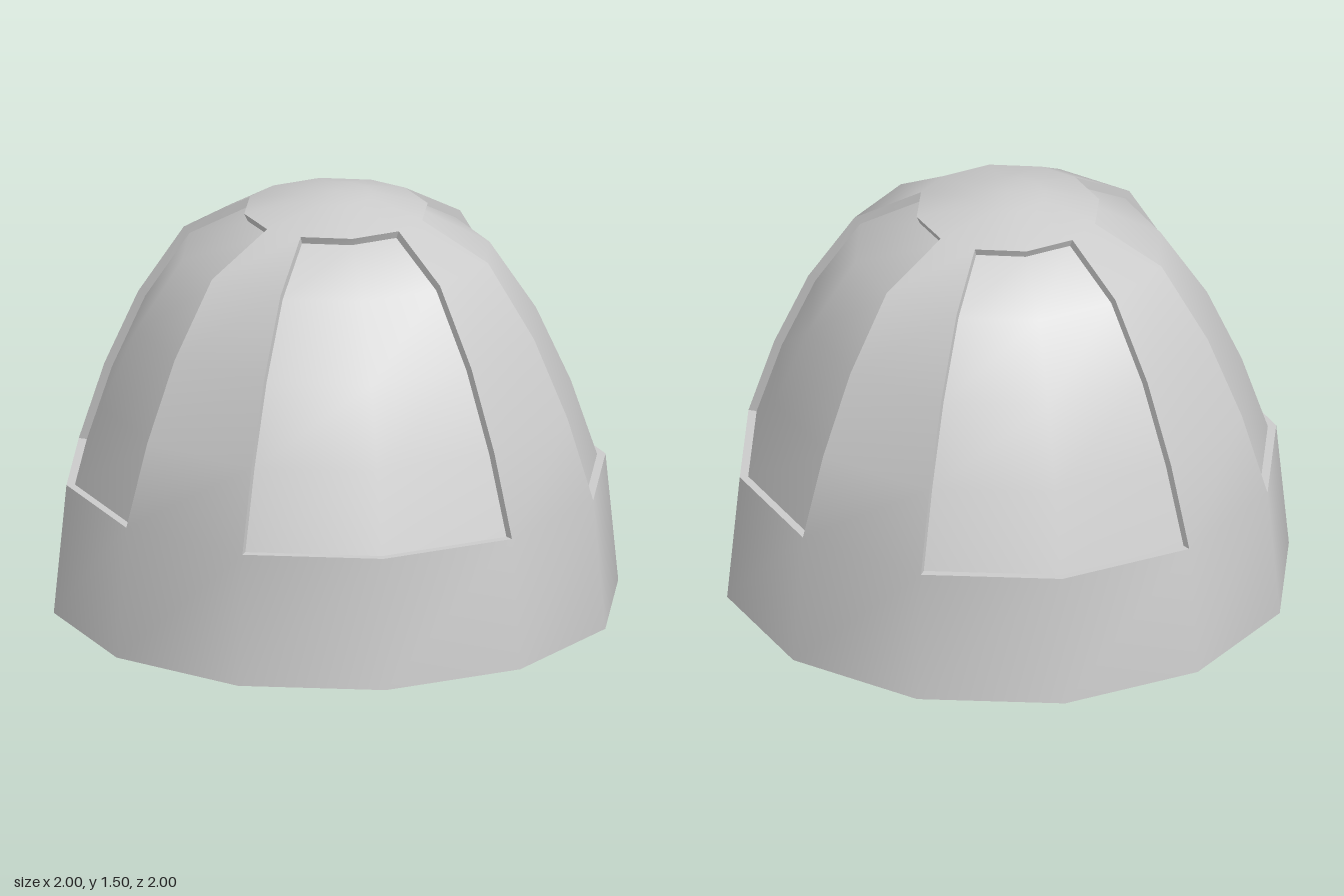
import * as THREE from 'three';
import { toCreasedNormals } from 'three/addons/utils/BufferGeometryUtils.js';

const SIDES = 12, THICK = 0.12, RECESS = 0.03;
// dome profile [radius, height] from the base to the apex
const PROFILE = [[1, 0], [0.955, 0.47], [0.86, 0.76], [0.735, 1.04], [0.565, 1.3], [0.325, 1.435], [0.13, 1.49], [0, 1.5]];
const TOP = PROFILE.length - 1;

// two of every three columns carry a recessed panel, between rings 1 and 5
const isPanel = (k, j) => k >= 1 && k < 5 && ((j % 3) + 3) % 3 !== 0;

// profile normal of a ring; flat at the base and the panel sill, upright at the apex
function ringNormal(k) {
  if (k <= 1) return [1, 0];
  if (k === TOP) return [0, 1];
  const [r0, y0] = PROFILE[k - 1], [r1, y1] = PROFILE[k + 1];
  const len = Math.hypot(r1 - r0, y1 - y0);
  return [(y1 - y0) / len, (r0 - r1) / len];
}

// point on ring k, column j, sunk below the outer surface
function point(k, j, depth) {
  const [nr, ny] = ringNormal(k);
  const r = Math.max(0, PROFILE[k][0] - nr * depth);
  const y = PROFILE[k][1] - ny * depth;
  // the panels flare slightly at their top corners
  const flare = k === 5 ? [0.04, -0.04, 0][j % 3] : 0;
  const a = (j / SIDES) * Math.PI * 2 + flare;
  return [r * Math.sin(a), y, r * Math.cos(a)];
}

function makeMesh(name, quads, flip) {
  const pos = [];
  for (const [a, b, c, d] of quads) {
    const tris = flip ? [a, c, b, a, d, c] : [a, b, c, a, c, d];
    tris.forEach((p) => pos.push(...p));
  }
  const geo = new THREE.BufferGeometry();
  geo.setAttribute('position', new THREE.Float32BufferAttribute(pos, 3));
  const mesh = new THREE.Mesh(
    toCreasedNormals(geo, 0.65),
    new THREE.MeshStandardMaterial({ color: 0xcccccc, side: THREE.DoubleSide })
  );
  mesh.name = name;
  return mesh;
}

// one skin of the dome: plain wall, sunken panels and the steps around them
function makeSkin(label, base, flip) {
  const wall = [], panels = [], steps = [];
  for (let k = 0; k < TOP; k++) {
    for (let j = 0; j < SIDES; j++) {
      const panel = isPanel(k, j);
      const depth = base + (panel ? RECESS : 0);
      const corners = [[k, j], [k, j + 1], [k + 1, j + 1], [k + 1, j]];
      (panel ? panels : wall).push(corners.map(([a, b]) => point(a, b, depth)));
      if (!panel) continue;
      const neighbours = [[k - 1, j], [k, j + 1], [k + 1, j], [k, j - 1]];
      neighbours.forEach(([nk, nj], i) => {
        if (isPanel(nk, nj)) return;
        const u = corners[i], v = corners[(i + 1) % 4];
        steps.push([point(...u, base), point(...v, base), point(...v, depth), point(...u, depth)]);
      });
    }
  }
  const skin = new THREE.Group();
  skin.name = label + 'Skin';
  skin.add(
    makeMesh(label + 'Wall', wall, flip),
    makeMesh(label + 'Panels', panels, flip),
    makeMesh(label + 'PanelEdges', steps, flip)
  );
  return skin;
}

export function createModel() {
  const group = new THREE.Group();
  group.name = 'panelledDome';
  group.add(makeSkin('outer', 0, false), makeSkin('inner', THICK, true));

  // flat ring closing the wall at the base
  const rim = [];
  for (let j = 0; j < SIDES; j++) {
    rim.push([point(0, j, 0), point(0, j, THICK), point(0, j + 1, THICK), point(0, j + 1, 0)]);
  }
  group.add(makeMesh('bottomRim', rim, false));
  return group;
}
